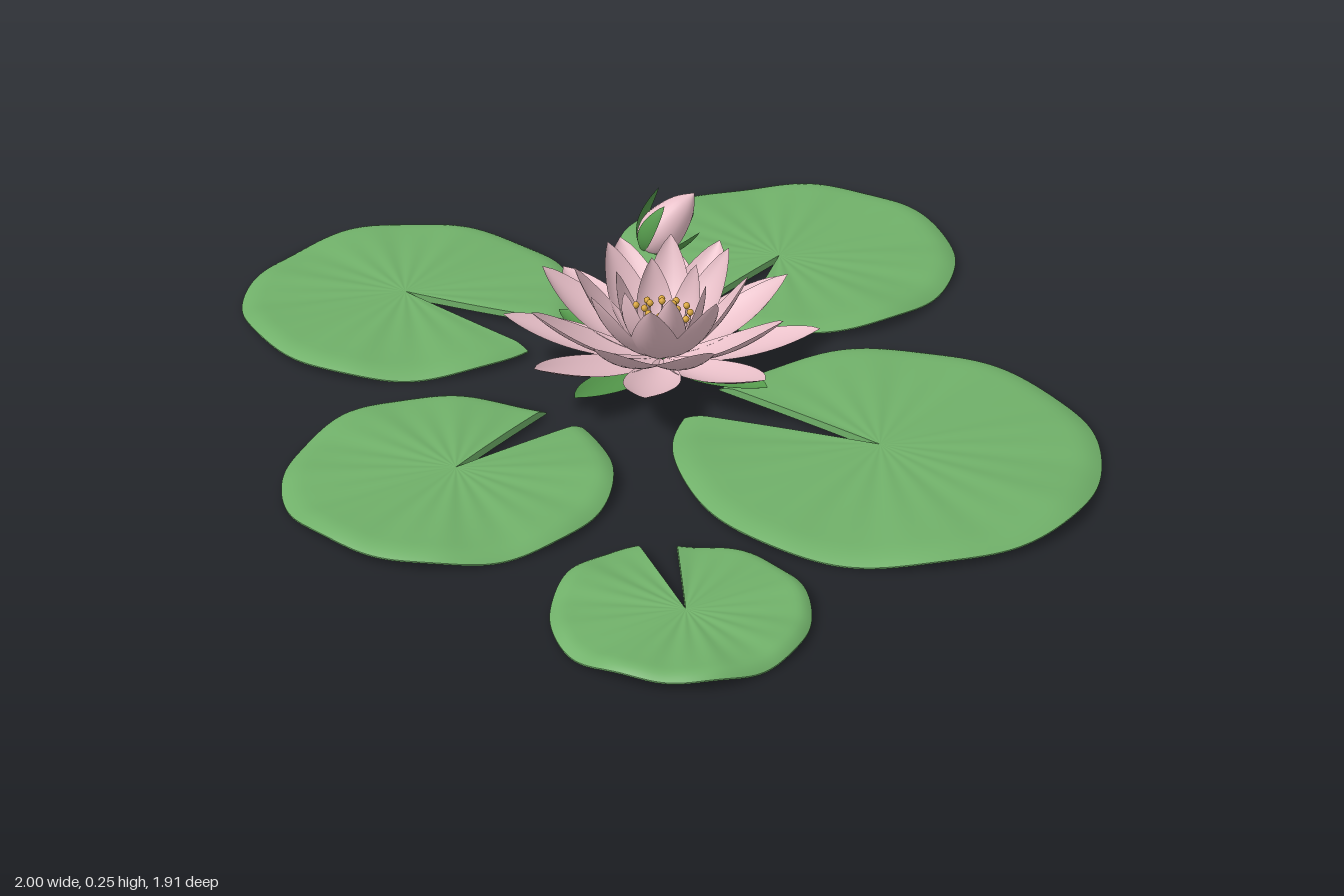
import * as THREE from 'three';
import { mergeGeometries } from 'three/addons/utils/BufferGeometryUtils.js';

const mat = (name, color, side = THREE.FrontSide) => {
  const m = new THREE.MeshStandardMaterial({ color, side });
  m.name = name;
  return m;
};

// Smooth grid surface; f(u, v) returns [x, y, z] and the front faces du x dv
function sheet(nu, nv, f) {
  const pos = [], idx = [];
  for (let i = 0; i <= nu; i++)
    for (let j = 0; j <= nv; j++) pos.push(...f(i / nu, j / nv));
  for (let i = 0; i < nu; i++)
    for (let j = 0; j < nv; j++) {
      const a = i * (nv + 1) + j, b = a + nv + 1;
      idx.push(a, b, b + 1, a, b + 1, a + 1);
    }
  const g = new THREE.BufferGeometry();
  g.setAttribute('position', new THREE.Float32BufferAttribute(pos, 3));
  g.setIndex(idx);
  g.computeVertexNormals();
  return g;
}

// Pointed, cupped leaf: a quadratic curve of [radius, height] points along +x
function leaf(base, ctrl, tip, halfWidth, cup) {
  const bez = (k, t) => (1 - t) ** 2 * base[k] + 2 * t * (1 - t) * ctrl[k] + t * t * tip[k];
  const slope = (k, t) => 2 * (1 - t) * (ctrl[k] - base[k]) + 2 * t * (tip[k] - ctrl[k]);
  return sheet(8, 16, (u, t) => {
    const v = u * 2 - 1;
    const w = halfWidth * 3 * (t + 0.02) ** 0.8 * (1 - t) ** 0.8;
    const dr = slope(0, t), dy = slope(1, t), len = Math.hypot(dr, dy) || 1;
    const lift = cup * w * v * v;
    return [bez(0, t) - (dy / len) * lift, bez(1, t) + (dr / len) * lift, v * w];
  });
}

function ring(name, geometry, material, count, startDeg) {
  const g = new THREE.Group();
  g.name = name + 'Ring';
  for (let i = 0; i < count; i++) {
    const m = new THREE.Mesh(geometry, material);
    m.name = name + (i + 1);
    m.rotation.y = -THREE.MathUtils.degToRad(startDeg + (i * 360) / count);
    g.add(m);
  }
  return g;
}

// Notched floating pad: centre, radius, notch point and notch angles in degrees
function lilyPad({ c, r, apex, notch, seed }, material) {
  const a0 = THREE.MathUtils.degToRad(notch[1]);
  const a1 = THREE.MathUtils.degToRad(notch[0] + 360);
  const point = (s, t, top) => {
    const a = a0 + (a1 - a0) * s;
    const rr = r * (1 + 0.007 * Math.sin(5 * a + seed));
    const x = apex[0] + t * (c[0] + rr * Math.cos(a) - apex[0]);
    const z = apex[1] + t * (c[1] + rr * Math.sin(a) - apex[1]);
    let y = 0.02 + t * t * (0.007 * Math.sin(3 * a + seed) + 0.004 * Math.sin(8 * a + seed * 2));
    if (top) {
      const roll = Math.max(0, (t - 0.88) / 0.12);
      y += 0.016 + 0.0013 * Math.sin(20 * a) * Math.sin(Math.PI * t) - 0.013 * roll * roll;
    }
    return [x, y, z];
  };
  const radial = t => 1 - (1 - t) ** 1.6;
  // Top, underside, outer rim and the two notch walls
  const pad = new THREE.Mesh(mergeGeometries([
    sheet(132, 18, (s, t) => point(s, radial(t), true)),
    sheet(8, 88, (t, s) => point(s, t, false)),
    sheet(1, 132, (h, s) => point(s, 1, h > 0.5)),
    sheet(1, 18, (h, t) => point(0, radial(t), h > 0.5)),
    sheet(1, 18, (h, t) => point(1, radial(1 - t), h > 0.5)),
  ]), material);
  pad.name = 'lilyPad';
  return pad;
}

export function createModel() {
  const padGreen = mat('pad green', 0x70b069);
  const petal = mat('petal pink', 0xe8bfc8, THREE.DoubleSide);
  const sepal = mat('sepal green', 0x559a4c, THREE.DoubleSide);
  const gold = mat('stamen gold', 0xdca83c);
  const model = new THREE.Group();
  model.name = 'waterLily';

  // Floating pads
  [
    { c: [-0.233, -0.572], r: 0.385, apex: [-0.227, -0.545], notch: [59, 80], seed: 0.4 },
    { c: [0.56, -0.112], r: 0.437, apex: [0.543, -0.107], notch: [151, 170], seed: 1.7 },
    { c: [-0.632, 0.2], r: 0.369, apex: [-0.644, 0.203], notch: [-25, -6], seed: 2.9 },
    { c: [0.048, 0.622], r: 0.333, apex: [0.045, 0.6], notch: [-104.5, -86], seed: 4.1 },
    { c: [0.73, 0.604], r: 0.246, apex: [0.746, 0.604], notch: [201, 220], seed: 5.3 },
  ].forEach(p => model.add(lilyPad(p, padGreen)));

  // Open flower
  const flower = new THREE.Group();
  flower.name = 'flower';
  flower.position.set(-0.013, 0, 0);
  flower.add(
    ring('sepal', leaf([0.01, 0.04], [0.16, 0.035], [0.285, 0.075], 0.046, 0.3), sepal, 4, 80),
    ring('outerPetal', leaf([0.015, 0.05], [0.2, 0.06], [0.338, 0.138], 0.058, 0.3), petal, 8, 2),
    ring('secondPetal', leaf([0.015, 0.055], [0.17, 0.075], [0.285, 0.205], 0.057, 0.35), petal, 8, 23),
    ring('thirdPetal', leaf([0.015, 0.06], [0.12, 0.09], [0.185, 0.255], 0.05, 0.35), petal, 8, 3),
    ring('innerPetal', leaf([0.012, 0.065], [0.095, 0.1], [0.1, 0.24], 0.04, 0.35), petal, 6, 30),
    ring('heartPetal', leaf([0.006, 0.07], [0.045, 0.1], [0.012, 0.15], 0.015, 0.3), petal, 6, 10),
  );

  // Stamens: pale filaments with golden tips
  [[8, 0.035, 0.168], [12, 0.062, 0.16]].forEach(([n, r, y], k) => {
    const path = new THREE.QuadraticBezierCurve3(
      new THREE.Vector3(0.012, 0.075, 0), new THREE.Vector3(r, 0.1, 0), new THREE.Vector3(r, y, 0));
    flower.add(
      ring('filament', new THREE.TubeGeometry(path, 6, 0.0025, 5), petal, n, k * 13),
      ring('anther', new THREE.SphereGeometry(0.0075, 8, 6).translate(r, y, 0), gold, n, k * 13));
  });
  model.add(flower);

  // Closed bud leaning over the back pad
  const bud = new THREE.Group();
  bud.name = 'bud';
  bud.position.set(-0.453, 0.035, -0.335);
  bud.quaternion.setFromUnitVectors(
    new THREE.Vector3(0, 1, 0), new THREE.Vector3(0.065, 0.14, -0.1).normalize());
  const profile = new THREE.SplineCurve([[0, 0], [0.032, 0.012], [0.05, 0.05], [0.047, 0.09],
    [0.029, 0.14], [0, 0.178]].map(p => new THREE.Vector2(...p))).getPoints(24);
  profile.forEach(p => { p.x = Math.max(0, p.x); });
  const body = new THREE.Mesh(new THREE.LatheGeometry(profile, 24), petal);
  body.name = 'budBody';
  bud.add(body, ring('budSepal',
    leaf([0.008, -0.004], [0.07, 0.02], [0.075, 0.125], 0.021, 0.2), sepal, 4, 80));
  model.add(bud);

  return model;
}
